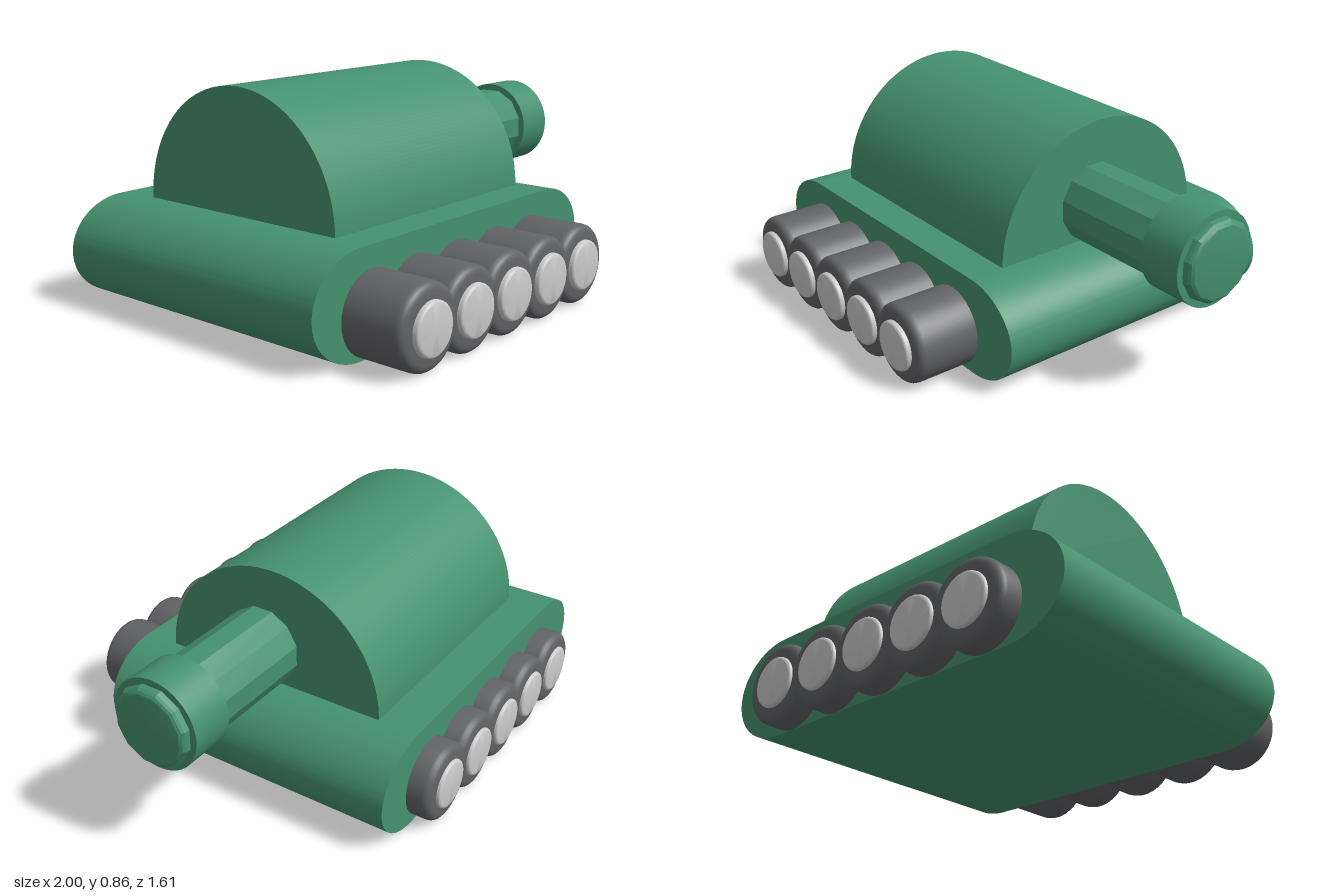
import * as THREE from 'three';
import { toCreasedNormals } from 'three/addons/utils/BufferGeometryUtils.js';

const green = new THREE.MeshStandardMaterial({ color: 0x45926e });
const darkGrey = new THREE.MeshStandardMaterial({ color: 0x626366 });
const grey = new THREE.MeshStandardMaterial({ color: 0xcccccc });

function add(parent, name, geometry, material, x = 0, y = 0, z = 0) {
  const mesh = new THREE.Mesh(geometry, material);
  mesh.name = name;
  mesh.position.set(x, y, z);
  parent.add(mesh);
  return mesh;
}

// Solid of revolution running from y = 0 to y = length, with a rounded far rim
function roundedCylinder(radius, length, bevel, sides, crease) {
  const points = [new THREE.Vector2(0, 0), new THREE.Vector2(radius, 0)];
  for (let i = 0; i <= 4; i++) {
    const a = (i / 4) * Math.PI / 2;
    points.push(new THREE.Vector2(
      radius - bevel + bevel * Math.cos(a),
      length - bevel + bevel * Math.sin(a)));
  }
  points.push(new THREE.Vector2(0, length));
  return toCreasedNormals(new THREE.LatheGeometry(points, sides), crease);
}

export function createModel() {
  const model = new THREE.Group();
  model.name = 'tank';

  // Hull: slab with elliptical ends, extruded across the width
  const rx = 0.235, ry = 0.194;
  const side = new THREE.Shape();
  side.moveTo(-0.765, 0);
  side.lineTo(0.34, 0);
  side.absellipse(0.34, ry, rx, ry, -Math.PI / 2, Math.PI / 2, false);
  side.lineTo(-0.765, 2 * ry);
  side.absellipse(-0.765, ry, rx, ry, Math.PI / 2, Math.PI * 1.5, false);
  const hull = new THREE.ExtrudeGeometry(side, { depth: 1.24, bevelEnabled: false, curveSegments: 32 });
  add(model, 'hull', toCreasedNormals(hull, 0.6), green, 0, 0, -0.7);

  // Turret: half cylinder lying along x
  const arch = new THREE.Shape();
  arch.absarc(0, 0, 0.47, 0, Math.PI, false);
  arch.closePath();
  const turret = new THREE.ExtrudeGeometry(arch, { depth: 1.075, bevelEnabled: false, curveSegments: 48 });
  turret.rotateY(Math.PI / 2);
  add(model, 'turret', toCreasedNormals(turret, 0.6), green, -0.735, 0.386, -0.07);

  // Gun: faceted barrel with a smooth collar near the muzzle
  const gun = new THREE.Group();
  gun.name = 'gun';
  gun.position.set(0, 0.535, -0.033);
  model.add(gun);
  const barrel = roundedCylinder(0.156, 0.75, 0.03, 12, 0.3);
  barrel.rotateY(Math.PI / 12).rotateZ(-Math.PI / 2);
  add(gun, 'barrel', barrel, green, 0.25);
  const collar = new THREE.CylinderGeometry(0.178, 0.178, 0.175, 48);
  collar.rotateZ(-Math.PI / 2);
  add(gun, 'muzzleCollar', collar, green, 0.873);

  // Wheels: five per side, each with a rounded tyre and a raised hub
  const rows = [
    { name: 'left', dir: 1, startX: -0.71, baseZ: 0.5, end: 0.785 },
    { name: 'right', dir: -1, startX: -0.68, baseZ: -0.64, end: 0.792 },
  ];
  for (const row of rows) {
    const reach = row.end - Math.abs(row.baseZ);
    const tyre = roundedCylinder(0.153, reach, 0.03, 40, 0.6).rotateX(row.dir * Math.PI / 2);
    const hub = roundedCylinder(0.096, reach + 0.806 - row.end, 0.012, 40, 0.6).rotateX(row.dir * Math.PI / 2);
    for (let i = 0; i < 5; i++) {
      const wheel = new THREE.Group();
      wheel.name = `${row.name}Wheel${i + 1}`;
      wheel.position.set(row.startX + i * 0.2325, 0.154, row.baseZ);
      add(wheel, 'tyre', tyre, darkGrey);
      add(wheel, 'hub', hub, grey);
      model.add(wheel);
    }
  }
  return model;
}
